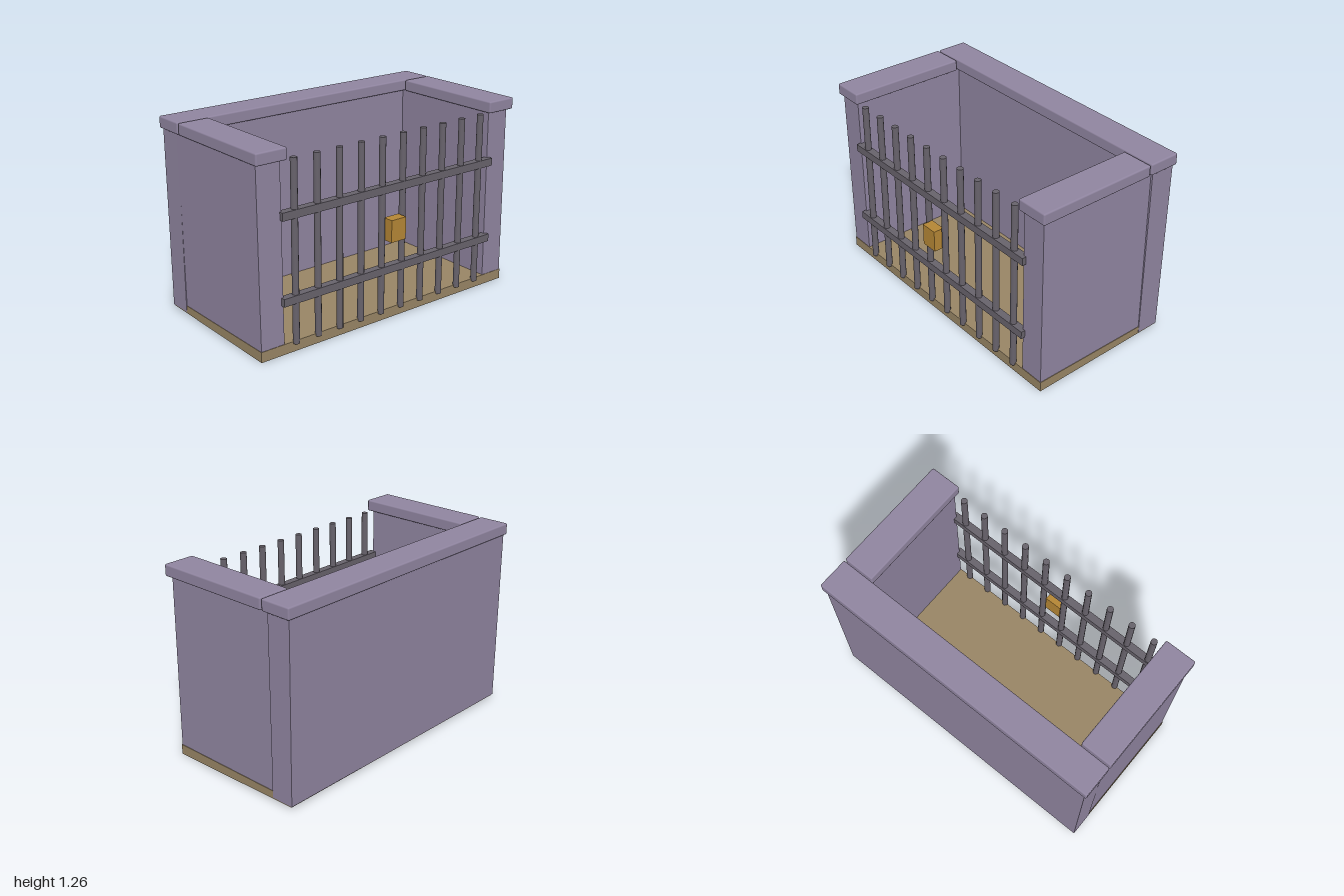
import * as THREE from 'three';
import { RoundedBoxGeometry } from 'three/addons/geometries/RoundedBoxGeometry.js';

const mat = (name, color) => new THREE.MeshStandardMaterial({ name, color });

export function createModel() {
  const model = new THREE.Group();
  model.name = 'barredCell';
  const stone = mat('purple stone', 0x8f849f);
  const earth = mat('tan floor', 0x978464);
  const iron = mat('dark iron', 0x67626b);
  const brass = mat('brass lock', 0xb38535);

  const add = (name, geometry, material) => {
    const mesh = new THREE.Mesh(geometry, material);
    mesh.name = name;
    model.add(mesh);
    return mesh;
  };
  // Box from minimum to maximum corner; warp may shift each corner
  const box = (name, material, [x0, y0, z0], [x1, y1, z1], warp) => {
    let g = new THREE.BoxGeometry(x1 - x0, y1 - y0, z1 - z0);
    g.translate((x0 + x1) / 2, (y0 + y1) / 2, (z0 + z1) / 2);
    if (warp) {
      const p = g.attributes.position;
      const v = new THREE.Vector3();
      for (let i = 0; i < p.count; i++) {
        warp(v.fromBufferAttribute(p, i));
        p.setXYZ(i, v.x, v.y, v.z);
      }
      g = g.toNonIndexed();
      g.computeVertexNormals();
    }
    return add(name, g, material);
  };
  const cap = (name, [x0, z0], [x1, z1]) => {
    const mesh = add(name, new RoundedBoxGeometry(x1 - x0, 0.075, z1 - z0, 2, 0.01), stone);
    mesh.position.set((x0 + x1) / 2, 1.2225, (z0 + z1) / 2);
  };

  // Floor slab, its front corners sagging to the ground
  box('floor', earth, [-0.98, 0.018, -0.5], [0.98, 0.066, 0.467], (v) => {
    if (v.z > 0 && v.y < 0.05) v.y = 0;
  });

  // Walls, leaning very slightly
  const lean = (v) => { if (v.y > 1) v.x -= 0.008; };
  box('rightWall', stone, [-0.977, 0.022, -0.36], [-0.815, 1.187, 0.464], lean);
  box('leftWall', stone, [0.815, 0.015, -0.36], [0.977, 1.187, 0.464], lean);
  box('backWall', stone, [-0.982, 0.024, -0.505], [0.982, 1.187, -0.35], (v) => {
    if (v.y > 1 && v.z < -0.4) v.z -= 0.01;
  });

  // Coping stones
  cap('backCap', [-1, -0.53], [1, -0.32]);
  cap('rightCap', [-1, -0.31], [-0.79, 0.492]);
  cap('leftCap', [0.79, -0.31], [1, 0.492]);

  // Upright bars
  const barGeometry = new THREE.CylinderGeometry(0.021, 0.021, 1.137, 12);
  for (let i = 0; i < 10; i++) {
    const bar = add('bar', barGeometry, iron);
    bar.position.set(-0.731 + i * 0.1624, 0.6185, 0.466);
  }

  // Cross rails and lock
  for (const y of [0.338, 0.86]) {
    box('crossRail', iron, [-0.83, y - 0.025, 0.441], [0.83, y + 0.025, 0.491]);
  }
  box('lock', brass, [-0.058, 0.53, 0.46], [0.056, 0.673, 0.531]);

  return model;
}
